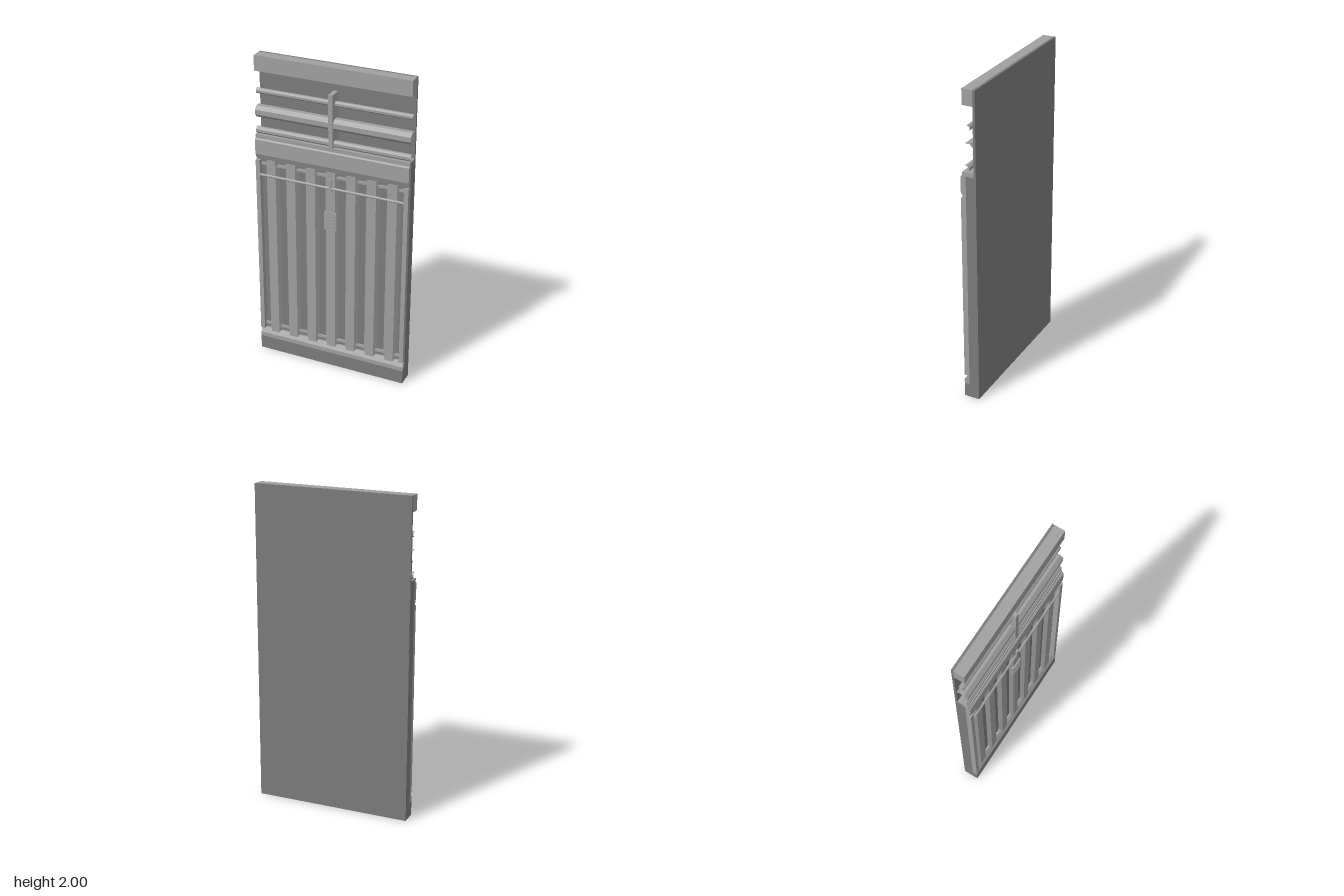
import * as THREE from 'three';

const W = 0.985; // panel width
const BACK = -0.05, SLAB = 0.015, FRONT = 0.048; // main depth planes

export function createModel() {
  const light = new THREE.MeshStandardMaterial({ color: 0xa0a0a0 });
  light.name = 'light grey metal';
  const dark = new THREE.MeshStandardMaterial({ color: 0x7b7b7b });
  dark.name = 'dark grey metal';

  const model = new THREE.Group();
  model.name = 'wallPanel';

  const add = (name, geometry, material) => {
    const mesh = new THREE.Mesh(geometry, material);
    mesh.name = name;
    model.add(mesh);
    return mesh;
  };

  // Box given by its limits on each axis
  const box = (name, [x0, x1], [y0, y1], [z0, z1], material) =>
    add(name, new THREE.BoxGeometry(x1 - x0, y1 - y0, z1 - z0)
      .translate((x0 + x1) / 2, (y0 + y1) / 2, (z0 + z1) / 2), material);

  // Full-width moulding from a (z, y) profile
  const moulding = (name, profile, material) => {
    const shape = new THREE.Shape(profile.map(([z, y]) => new THREE.Vector2(-z, y)));
    const geo = new THREE.ExtrudeGeometry(shape, { depth: W, bevelEnabled: false });
    return add(name, geo.rotateY(Math.PI / 2).translate(-W / 2, 0, 0), material);
  };

  // Faceted horizontal tube with open ends
  const pipe = (name, y, z, radius, length, sides, open) => {
    const geo = new THREE.CylinderGeometry(radius, radius, length, sides, 1, open, Math.PI / sides)
      .rotateZ(Math.PI / 2).toNonIndexed();
    geo.computeVertexNormals();
    return add(name, geo.translate(0, y, z), light);
  };

  const full = [-W / 2, W / 2];

  // Backing slabs
  box('lowerSlab', full, [0, 1.5], [BACK, SLAB], dark);
  box('upperBackPlate', full, [1.5, 2], [BACK, -0.035], dark);

  // Top beam and the ledge under the pipe recess
  box('topBeam', full, [1.905, 2], [-0.035, 0.031], light);
  box('pipeLedge', full, [1.483, 1.508], [-0.035, 0.036], light);

  // Header and base mouldings
  moulding('headerTrim', [
    [SLAB, 1.345], [0.03, 1.345], [FRONT, 1.385], [FRONT, 1.478], [0.042, 1.485], [SLAB, 1.485],
  ], light);
  box('kickPlate', full, [0, 0.09], [SLAB, FRONT], dark);
  moulding('baseTrim', [
    [SLAB, 0.09], [FRONT, 0.09], [FRONT, 0.118], [0.028, 0.15], [SLAB, 0.15],
  ], light);

  // Side frames
  for (const s of [-1, 1]) {
    const xs = [s * 0.465, s * W / 2].sort((a, b) => a - b);
    box(s > 0 ? 'leftFrame' : 'rightFrame', xs, [0.15, 1.345], [SLAB, FRONT], light);
  }

  // Trapezoid corrugation ribs
  const ribShape = new THREE.Shape([
    [-0.044, -SLAB], [-0.027, -0.037], [0.027, -0.037], [0.044, -SLAB],
  ].map(([x, y]) => new THREE.Vector2(x, y)));
  const ribGeo = new THREE.ExtrudeGeometry(ribShape, { depth: 1.215, bevelEnabled: false })
    .rotateX(-Math.PI / 2).translate(0, 0.135, 0);
  for (let i = -3; i <= 3; i++) add('rib', ribGeo, light).position.x = i * 0.131;

  // Cross bars at the ends of the grooves
  for (const y of [0.175, 1.31]) {
    box('grooveBar', [-0.465, 0.465], [y, y + 0.016], [SLAB, 0.028], light);
  }

  // Thin rail with its centre clip
  pipe('rail', 1.249, 0.041, 0.008, 0.93, 8, false);
  box('railClip', [-0.009, 0.009], [1.227, 1.308], [0.03, FRONT], light);

  // Small louvred box
  box('ventBox', [-0.04, 0.04], [0.972, 1.09], [0.03, 0.046], light);
  for (let i = 0; i < 4; i++) {
    const y = 0.99 + i * 0.024;
    box('ventSlat', [-0.03, 0.03], [y, y + 0.01], [0.045, FRONT], light);
  }

  // Pipes and their shared bracket
  pipe('upperPipe', 1.774, 0.0, 0.017, W, 8, true);
  pipe('mainPipe', 1.648, 0.0, 0.039, W, 8, true);
  pipe('lowerPipe', 1.53, 0.012, 0.021, W, 8, true);
  box('pipeBracket', [-0.014, 0.014], [1.508, 1.838], [-0.035, 0.041], light);

  return model;
}
